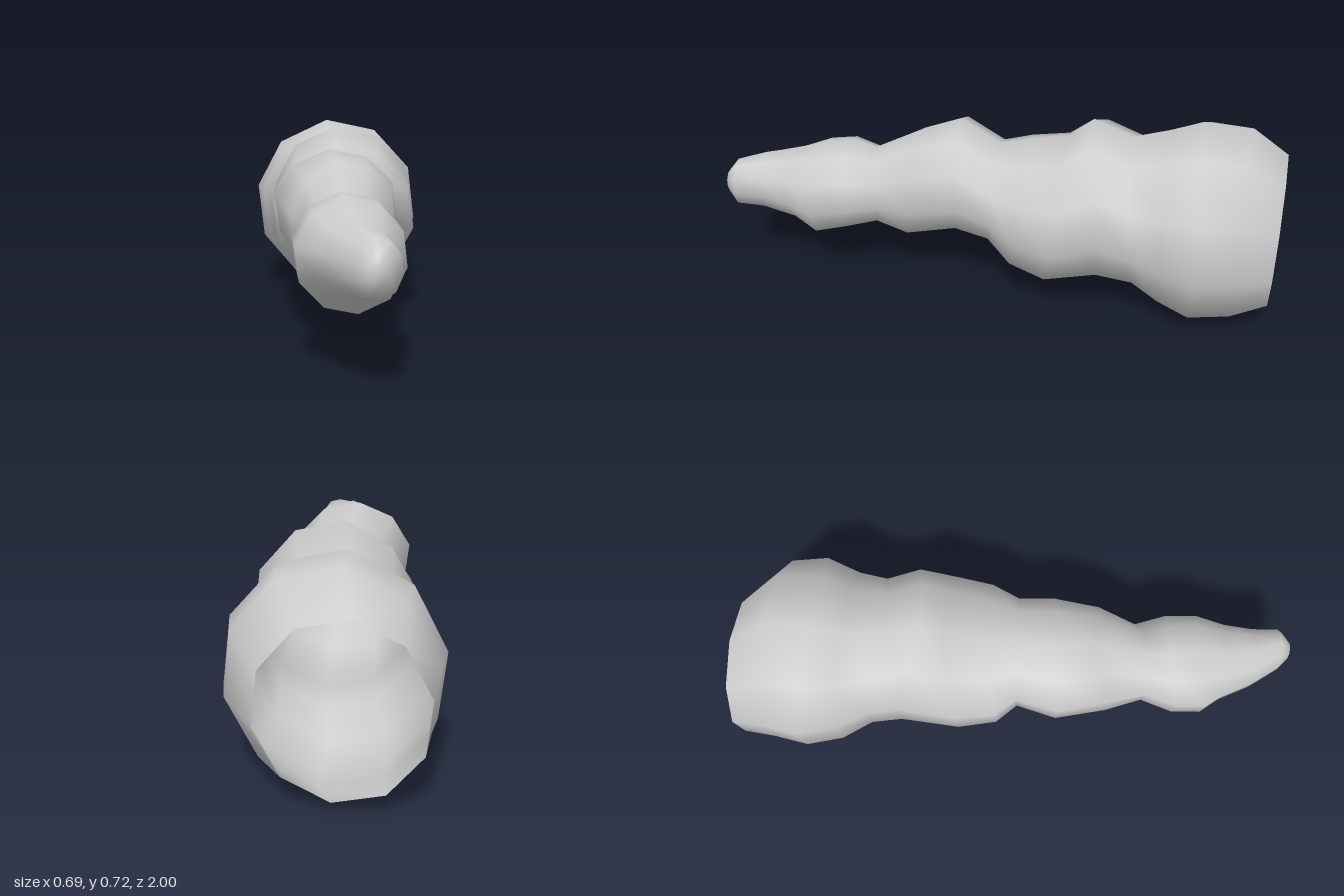
import * as THREE from 'three';

const SIDES = 10;
const PHASE = THREE.MathUtils.degToRad(277);

// Outline of each side from the open rear to the tip, as [z, offset]
const right = [[-1, -0.32], [-0.88, -0.335], [-0.76, -0.35], [-0.62, -0.31], [-0.51, -0.245], [-0.4, -0.23],
  [-0.19, -0.22], [-0.05, -0.19], [0.02, -0.13], [0.17, -0.17], [0.35, -0.1], [0.48, -0.04],
  [0.6, -0.07], [0.71, -0.05], [0.77, 0], [0.87, 0.06], [0.97, 0.14], [1, 0.18]];
const left = [[-1, 0.2], [-0.87, 0.31], [-0.75, 0.34], [-0.62, 0.3], [-0.52, 0.285], [-0.4, 0.315],
  [-0.25, 0.33], [-0.12, 0.315], [-0.02, 0.265], [0.1, 0.26], [0.28, 0.26], [0.41, 0.23],
  [0.52, 0.275], [0.65, 0.295], [0.75, 0.275], [0.85, 0.27], [0.95, 0.28], [1, 0.24]];
const top = [[-1, 0.61], [-0.87, 0.715], [-0.7, 0.72], [-0.6, 0.68], [-0.47, 0.65], [-0.33, 0.71],
  [-0.25, 0.64], [-0.12, 0.615], [0, 0.59], [0.15, 0.655], [0.27, 0.62], [0.46, 0.525],
  [0.55, 0.55], [0.63, 0.545], [0.75, 0.505], [0.87, 0.485], [0.96, 0.47], [1, 0.42]];
const bottom = [[-1, 0.04], [-0.88, 0.02], [-0.72, 0], [-0.62, 0.04], [-0.53, 0.115], [-0.4, 0.14],
  [-0.19, 0.1], [-0.06, 0.15], [0.02, 0.235], [0.15, 0.245], [0.33, 0.2], [0.45, 0.24],
  [0.56, 0.21], [0.66, 0.18], [0.73, 0.24], [0.87, 0.275], [0.96, 0.29], [1, 0.33]];

// One ring vertex: an ellipse between the four outlines, tilted to follow their z
function ringPoint(k, i) {
  const a = PHASE + (i / SIDES) * Math.PI * 2;
  const c = Math.cos(a), s = Math.sin(a);
  const cx = (left[k][1] + right[k][1]) / 2, rx = (left[k][1] - right[k][1]) / 2;
  const cy = (top[k][1] + bottom[k][1]) / 2, ry = (top[k][1] - bottom[k][1]) / 2;
  const zx = (c > 0 ? left : right)[k][0];
  const zy = (s > 0 ? top : bottom)[k][0];
  return [cx + rx * c * 1.02, cy + ry * s * 1.007, zx * c * c + zy * s * s];
}

// Skin the rings, leaving the rear open and closing the tip
function hornGeometry() {
  const pos = [], index = [];
  const rings = top.length;
  for (let k = 0; k < rings; k++) {
    for (let i = 0; i < SIDES; i++) pos.push(...ringPoint(k, i));
  }
  pos.push(0.21, 0.375, 1);
  const tip = rings * SIDES;
  for (let k = 0; k < rings; k++) {
    for (let i = 0; i < SIDES; i++) {
      const j = (i + 1) % SIDES;
      const a = k * SIDES + i, b = k * SIDES + j;
      if (k === rings - 1) index.push(a, b, tip);
      else index.push(a, b, b + SIDES, a, b + SIDES, a + SIDES);
    }
  }
  const geo = new THREE.BufferGeometry();
  geo.setAttribute('position', new THREE.Float32BufferAttribute(pos, 3));
  geo.setIndex(index);
  geo.computeVertexNormals();
  return geo;
}

export function createModel() {
  const group = new THREE.Group();
  const material = new THREE.MeshStandardMaterial({ color: 0xcccccc, side: THREE.DoubleSide });
  const horn = new THREE.Mesh(hornGeometry(), material);
  horn.name = 'ridgedHorn';
  group.add(horn);
  return group;
}
